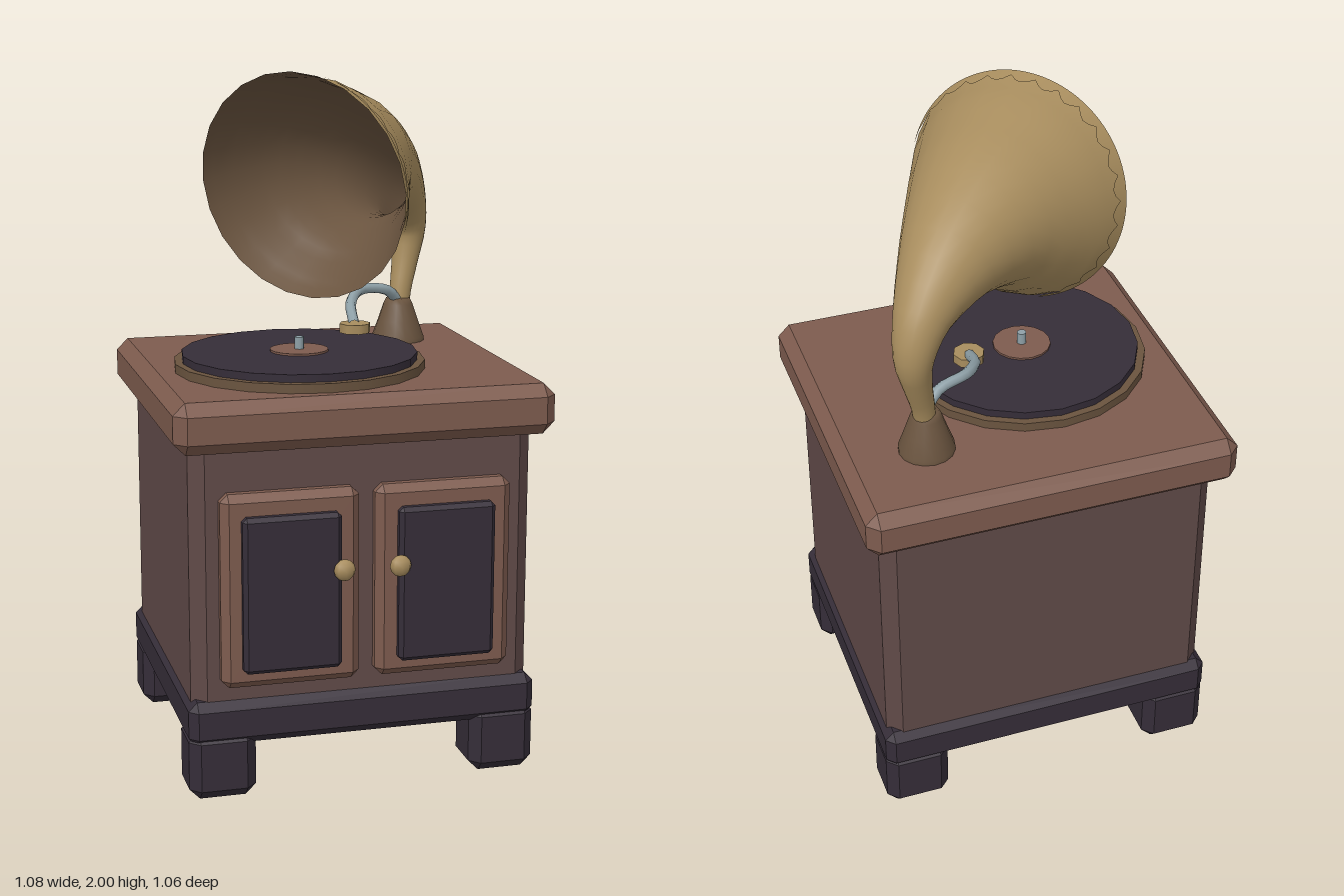
import * as THREE from 'three';
import { ConvexGeometry } from 'three/addons/geometries/ConvexGeometry.js';

const material = (name, color) => Object.assign(new THREE.MeshStandardMaterial({ color }), { name });

// Box given by its min and max corners, with every edge cut flat by c
function chamferBox([x0, y0, z0], [x1, y1, z1], c) {
  const half = [(x1 - x0) / 2, (y1 - y0) / 2, (z1 - z0) / 2];
  const points = [];
  for (const sx of [-1, 1]) for (const sy of [-1, 1]) for (const sz of [-1, 1]) {
    for (let axis = 0; axis < 3; axis++) {
      const p = half.map((h, i) => (i === axis ? h : h - c));
      points.push(new THREE.Vector3(p[0] * sx, p[1] * sy, p[2] * sz));
    }
  }
  return new ConvexGeometry(points).translate((x0 + x1) / 2, (y0 + y1) / 2, (z0 + z1) / 2);
}

// Horn centreline: x = distance along the horn's heading, y = height, z = radius
const hornLine = new THREE.CatmullRomCurve3([
  [0, 1.2, 0.03], [-0.015, 1.3, 0.033], [-0.045, 1.4, 0.042], [-0.06, 1.49, 0.056],
  [-0.01, 1.585, 0.08], [0.143, 1.675, 0.14], [0.338, 1.708, 0.22],
  [0.485, 1.695, 0.287], [0.584, 1.677, 0.328],
].map((p) => new THREE.Vector3(...p)));
const heading = new THREE.Vector3(-0.7, 0, 0.714);
const side = new THREE.Vector3(-0.714, 0, -0.7);
const hornRoot = new THREE.Vector3(0.298, 0, -0.265);

// Point on the horn surface at t along it and angle a round it
function hornPoint(t, a, offset) {
  const p = hornLine.getPoint(t);
  const d = hornLine.getTangent(t);
  const len = Math.hypot(d.x, d.y);
  const normal = heading.clone().multiplyScalar(-d.y / len);
  normal.y += d.x / len;
  const r = p.z + offset;
  return hornRoot.clone().addScaledVector(heading, p.x)
    .add(new THREE.Vector3(0, p.y, 0))
    .addScaledVector(normal, r * Math.cos(a))
    .addScaledVector(side, r * Math.sin(a));
}

// Closed rings of points joined into a skin
function skin(rows, cols, pointAt, inward = false) {
  const positions = [];
  const index = [];
  for (let i = 0; i <= rows; i++) {
    for (let j = 0; j < cols; j++) {
      positions.push(...pointAt(i / rows, (j / cols) * Math.PI * 2).toArray());
      if (i === rows) continue;
      const k = (j + 1) % cols;
      const [a, b, c, d] = [i * cols + j, i * cols + k, (i + 1) * cols + k, (i + 1) * cols + j];
      if (inward) index.push(a, c, b, a, d, c);
      else index.push(a, b, c, a, c, d);
    }
  }
  const geometry = new THREE.BufferGeometry();
  geometry.setAttribute('position', new THREE.Float32BufferAttribute(positions, 3));
  geometry.setIndex(index);
  geometry.computeVertexNormals();
  return geometry;
}

export function createModel() {
  const model = new THREE.Group();
  model.name = 'gramophoneCabinet';

  const lightWood = material('lightWood', 0x7d5b4e);
  const cabinetWood = material('cabinetWood', 0x604a48);
  const darkWood = material('darkWood', 0x352d38);
  const brass = material('brass', 0xa88d5e);
  const agedBrass = material('agedBrass', 0x6a543f);
  const steel = material('steel', 0x8fa1a8);

  const add = (name, geometry, mat, x = 0, y = 0, z = 0) => {
    const mesh = new THREE.Mesh(geometry, mat);
    mesh.name = name;
    mesh.position.set(x, y, z);
    model.add(mesh);
    return mesh;
  };

  // Cabinet
  add('cabinetBody', chamferBox([-0.492, 0.15, -0.467], [0.492, 1.04, 0.425], 0.04), cabinetWood);
  add('plinth', chamferBox([-0.506, 0.158, -0.488], [0.506, 0.287, 0.449], 0.025), darkWood);
  add('lid', chamferBox([-0.542, 1.002, -0.528], [0.542, 1.147, 0.487], 0.034), lightWood);

  // Legs, doors and knobs, mirrored left and right
  for (const s of [-1, 1]) {
    const label = s > 0 ? 'left' : 'right';
    const mirrored = (a, b) => [Math.min(a * s, b * s), Math.max(a * s, b * s)];
    const slab = (name, xs, ys, zs, c, mat) => {
      const [x0, x1] = mirrored(...xs);
      add(label + name, chamferBox([x0, ys[0], zs[0]], [x1, ys[1], zs[1]], c), mat);
    };
    slab('FrontLeg', [0.315, 0.506], [0, 0.2], [0.277, 0.45], 0.03, darkWood);
    slab('BackLeg', [0.315, 0.506], [0, 0.2], [-0.488, -0.314], 0.03, darkWood);
    slab('Door', [0.023, 0.416], [0.33, 0.885], [0.38, 0.468], 0.022, lightWood);
    slab('DoorPanel', [0.082, 0.361], [0.379, 0.825], [0.43, 0.496], 0.012, darkWood);
    add(label + 'Knob', new THREE.SphereGeometry(0.031, 8, 6), brass, s * 0.08, 0.665, 0.506)
      .scale.z = 0.72;
  }

  // Turntable
  const disc = (name, r, y0, y1, sides, mat) => add(name,
    new THREE.CylinderGeometry(r, r, y1 - y0, sides), mat, -0.098, (y0 + y1) / 2, 0.065);
  disc('platter', 0.363, 1.14, 1.173, 20, agedBrass);
  disc('record', 0.341, 1.173, 1.195, 20, darkWood);
  disc('recordLabel', 0.085, 1.195, 1.201, 16, lightWood);
  disc('spindle', 0.014, 1.2, 1.236, 8, steel);

  // Horn socket
  const socket = [[0.08, 1.14], [0.08, 1.16], [0.062, 1.21], [0.045, 1.26], [0.036, 1.278], [0, 1.282]];
  add('hornSocket', new THREE.LatheGeometry(socket.map((p) => new THREE.Vector2(...p)), 16),
    agedBrass, 0.298, 0, -0.265);

  // Horn: outer skin, darker lining and scalloped lip
  add('hornOuter', skin(24, 24, (t, a) => hornPoint(t, a, 0)), brass);
  add('hornLining', skin(24, 24, (t, a) => hornPoint(t, a, -0.008 * (1 - t)), true), agedBrass);
  const scallops = 28;
  add('hornLip', skin(1, scallops * 4, (v, a) => {
    const width = 0.03 + 0.03 * Math.abs(Math.cos((a * scallops) / 2));
    return hornPoint(1 - (1 - v) * width, a, 0.005);
  }), brass);

  // Tone arm and its head
  const armPath = new THREE.CatmullRomCurve3([
    [0.3, 1.265, -0.26], [0.25, 1.31, -0.228], [0.16, 1.32, -0.195],
    [0.108, 1.295, -0.12], [0.088, 1.248, -0.012],
  ].map((p) => new THREE.Vector3(...p)));
  add('toneArm', new THREE.TubeGeometry(armPath, 16, 0.016, 8), steel);
  add('toneArmHead', new THREE.CylinderGeometry(0.046, 0.046, 0.027, 8), brass, 0.088, 1.241, -0.005);

  return model;
}
